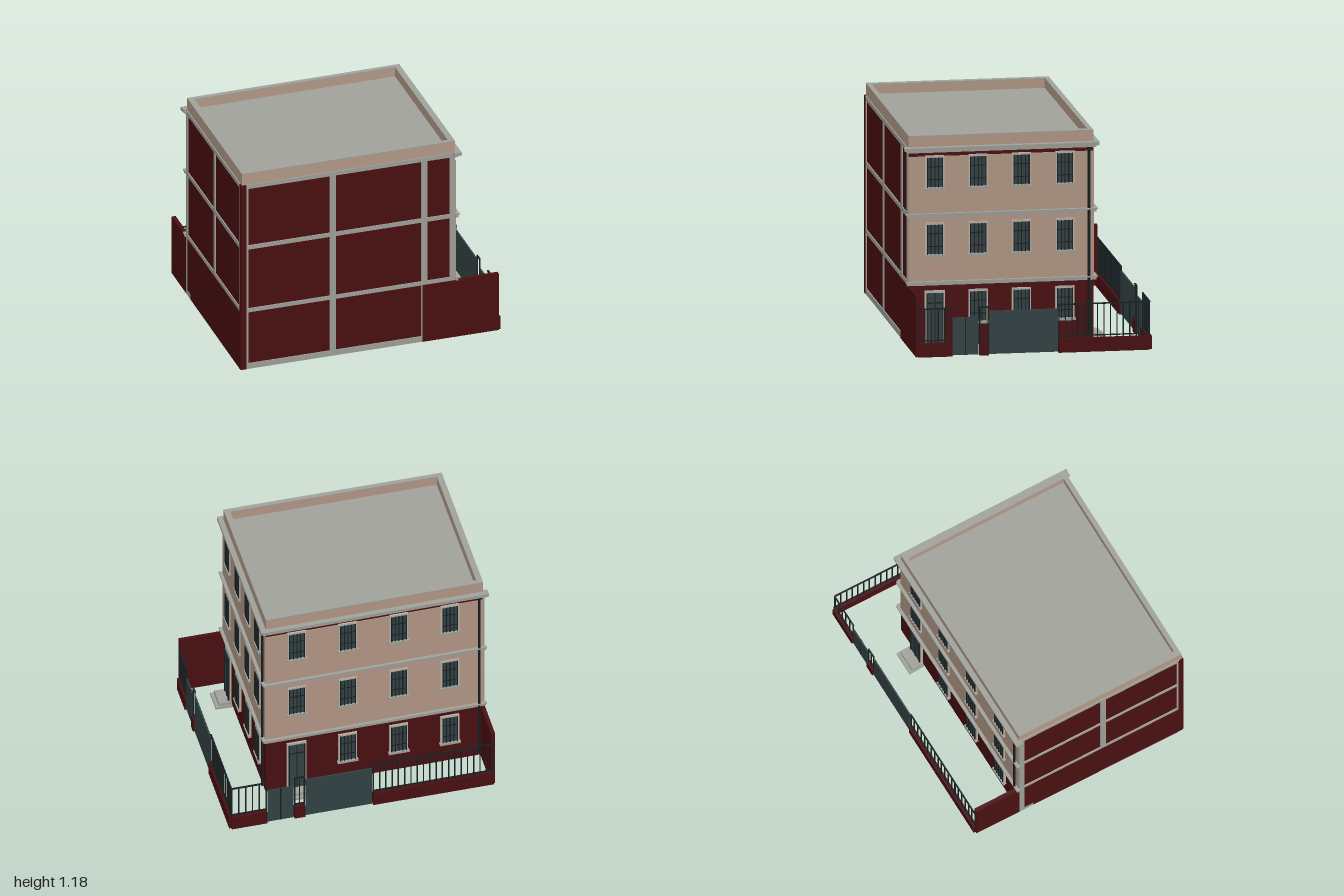
import * as THREE from 'three';

const mat = (name, color) => {
  const m = new THREE.MeshStandardMaterial({ color });
  m.name = name;
  return m;
};
const red = mat('dark red wall', 0x4a0f11);
const beige = mat('beige plaster', 0xb59a88);
const grey = mat('grey trim', 0x9fa199);
const pale = mat('pale window frame', 0xb8b2a6);
const teal = mat('dark teal panel', 0x344345);
const iron = mat('black iron', 0x192022);

// Plan corners [x, z], in order: front, left, back, right
const A = [0.02, 0.985], B = [0.77, 0.03], C = [0.01, -0.62], D = [-0.73, 0.34];
// Yard corners
const P1 = [-0.925, 0.165], P2 = [-0.03, -0.985], P3 = [0.92, -0.165];
const BASE = 0.02;

// Box given by its x range, y range and z range
function box(parent, name, m, x0, x1, y0, y1, z0, z1) {
  const b = new THREE.Mesh(new THREE.BoxGeometry(x1 - x0, y1 - y0, z1 - z0), m);
  b.position.set((x0 + x1) / 2, (y0 + y1) / 2, (z0 + z1) / 2);
  b.name = name;
  parent.add(b);
  return b;
}

// Group whose x axis runs from a to b and whose z axis points outward
function side(parent, name, a, b) {
  const g = new THREE.Group();
  const dx = b[0] - a[0], dz = b[1] - a[1];
  g.name = name;
  g.position.set(a[0], 0, a[1]);
  g.rotation.y = Math.atan2(-dz, dx);
  g.userData.len = Math.hypot(dx, dz);
  parent.add(g);
  return g;
}

// Footprint prism, optionally hollow
function prism(parent, name, m, y0, y1, hollow, scale = 1) {
  const cx = 0.02, cz = 0.185;
  const pts = s => [A, B, C, D].map(([x, z]) =>
    new THREE.Vector2(cx + (x - cx) * s, -(cz + (z - cz) * s)));
  const shape = new THREE.Shape(pts(scale));
  if (hollow) shape.holes.push(new THREE.Path(pts(hollow)));
  const geo = new THREE.ExtrudeGeometry(shape, { depth: y1 - y0, bevelEnabled: false });
  geo.rotateX(-Math.PI / 2).translate(0, y0, 0);
  const mesh = new THREE.Mesh(geo, m);
  mesh.name = name;
  parent.add(mesh);
}

// Casement window with frame, sill and iron bars
function windowUnit(parent, x, y) {
  const g = new THREE.Group();
  g.name = 'window';
  g.position.set(x, y, 0);
  parent.add(g);
  box(g, 'windowFrame', pale, -0.052, 0.052, 0, 0.18, 0, 0.01);
  box(g, 'windowSill', grey, -0.058, 0.058, -0.008, 0.004, 0, 0.02);
  box(g, 'windowPanes', teal, -0.041, 0.041, 0.008, 0.168, 0.008, 0.013);
  for (const bx of [-0.041, -0.02, 0, 0.02, 0.041])
    box(g, 'windowBar', iron, bx - 0.0025, bx + 0.0025, 0.006, 0.17, 0.012, 0.017);
  for (const by of [0.05, 0.12])
    box(g, 'crossBar', iron, -0.041, 0.041, by - 0.0025, by + 0.0025, 0.012, 0.016);
}

// Door with frame and entrance step
function door(parent, x) {
  const g = new THREE.Group();
  g.name = 'entrance';
  g.position.x = x;
  parent.add(g);
  box(g, 'doorFrame', pale, -0.055, 0.055, BASE, 0.325, 0, 0.01);
  box(g, 'doorLeaf', teal, -0.043, 0.043, 0.03, 0.312, 0.008, 0.014);
  for (const s of [-0.043, 0, 0.043])
    box(g, 'doorBar', iron, s - 0.003, s + 0.003, 0.03, 0.312, 0.012, 0.018);
  box(g, 'doorTransom', iron, -0.043, 0.043, 0.255, 0.262, 0.012, 0.018);
  box(g, 'lowerStep', grey, -0.068, 0.068, 0, 0.012, -0.01, 0.09);
  box(g, 'upperStep', grey, -0.06, 0.06, 0.012, 0.03, 0, 0.07);
}

// Plastered street facade
function facade(parent, name, a, b) {
  const g = side(parent, name, a, b), L = g.userData.len;
  box(g, 'plaster', beige, 0, L, 0.375, 1.065, -0.01, 0.004);
  for (const y of [0.365, 0.74]) {
    box(g, 'floorBand', grey, -0.012, L + 0.012, y - 0.01, y + 0.004, 0, 0.014);
    box(g, 'floorBandLip', grey, -0.016, L + 0.016, y + 0.004, y + 0.012, 0, 0.022);
  }
  box(g, 'corniceBase', grey, -0.012, L + 0.012, 1.088, 1.1, -0.01, 0.016);
  box(g, 'corniceLip', grey, -0.025, L + 0.025, 1.1, 1.118, -0.01, 0.03);
  [0.14, 0.375, 0.61, 0.845].forEach((f, i) => {
    const isDoor = name === 'backLeftFacade' ? i === 0 : i === 0;
    for (const y of [0.52, 0.89]) windowUnit(g, f * L, y);
    if (isDoor) door(g, f * L); else windowUnit(g, f * L, 0.145);
  });
  // Rain pipe
  const pipe = new THREE.Mesh(new THREE.CylinderGeometry(0.007, 0.007, 1.04, 8), iron);
  pipe.name = 'rainPipe';
  pipe.position.set(L - 0.025, 0.57, 0.014);
  g.add(pipe);
}

// Blind wall divided by a grid of grey strips
function gridWall(parent, name, a, b, columns) {
  const g = side(parent, name, a, b), L = g.userData.len;
  for (const [y0, y1] of [[BASE, 0.052], [0.355, 0.378], [0.728, 0.752], [1.088, 1.112]])
    box(g, 'horizontalStrip', grey, 0, L, y0, y1, -0.005, 0.006);
  for (const [f, w] of columns)
    box(g, 'verticalStrip', grey, f * L - w / 2, f * L + w / 2, BASE, 1.1, -0.005, 0.006);
  return g;
}

// Low wall with iron railing
function railing(g, x0, x1) {
  box(g, 'lowWall', red, x0, x1, BASE, 0.095, -0.012, 0.012);
  box(g, 'bottomRail', iron, x0, x1, 0.106, 0.112, -0.003, 0.003);
  box(g, 'topRail', iron, x0, x1, 0.28, 0.287, -0.004, 0.004);
  const n = Math.max(1, Math.round((x1 - x0) / 0.036));
  for (let i = 0; i <= n; i++) {
    const x = x0 + 0.003 + (x1 - x0 - 0.006) * i / n;
    box(g, 'railingBar', iron, x - 0.003, x + 0.003, 0.095, 0.284, -0.003, 0.003);
  }
}

// Fence side: spans are fractions of its length
function fence(parent, name, a, b, rails, bigGate, smallGate) {
  const g = side(parent, name, a, b), L = g.userData.len;
  for (const [s, e] of rails) railing(g, s * L, e * L);
  box(g, 'drivewayGate', teal, bigGate[0] * L, bigGate[1] * L, 0.025, 0.262, -0.004, 0.004);
  const [s, e] = smallGate.map(v => v * L);
  box(g, 'footGate', teal, s, e, 0.025, 0.232, -0.004, 0.004);
  box(g, 'footGateSplit', iron, (s + e) / 2 - 0.003, (s + e) / 2 + 0.003, 0.025, 0.232, -0.006, 0.006);
}

export function createModel() {
  const model = new THREE.Group();
  model.name = 'townHouse';

  // Main block, roof and parapet
  prism(model, 'mainBlock', red, BASE, 1.09);
  prism(model, 'roof', grey, 1.09, 1.125, null, 0.99);
  prism(model, 'parapet', beige, 1.105, 1.174, 0.945);
  prism(model, 'coping', grey, 1.174, 1.18, 0.945);

  // Street facades
  facade(model, 'backLeftFacade', B, C);
  facade(model, 'backRightFacade', C, D);

  // Blind walls with a red corner pier
  const ab = gridWall(model, 'frontLeftWall', A, B, [[0.025, 0.012], [0.425, 0.034], [0.855, 0.034], [0.985, 0.03]]);
  box(ab, 'cornerPier', red, -0.006, 0.022, BASE, 1.112, -0.01, 0.008);
  const da = gridWall(model, 'frontRightWall', D, A, [[0.015, 0.03], [0.515, 0.034], [0.975, 0.012]]);
  box(da, 'cornerPier', red, da.userData.len - 0.022, da.userData.len + 0.006, BASE, 1.112, -0.01, 0.008);

  // High yard walls
  const left = side(model, 'leftYardWall', A, P3);
  box(left, 'highWall', red, 0.845 * ab.userData.len, left.userData.len, BASE, 0.356, -0.012, 0.01);
  const right = side(model, 'rightYardWall', P1, A);
  box(right, 'highWall', red, 0, right.userData.len, BASE, 0.356, -0.012, 0.01);

  // Street fences
  fence(model, 'backLeftFence', P3, P2, [[0, 0.148], [0.265, 0.305], [0.607, 1]], [0.308, 0.604], [0.15, 0.262]);
  fence(model, 'backRightFence', P2, P1, [[0, 0.135], [0.24, 0.28], [0.54, 1]], [0.283, 0.537], [0.138, 0.237]);

  return model;
}
